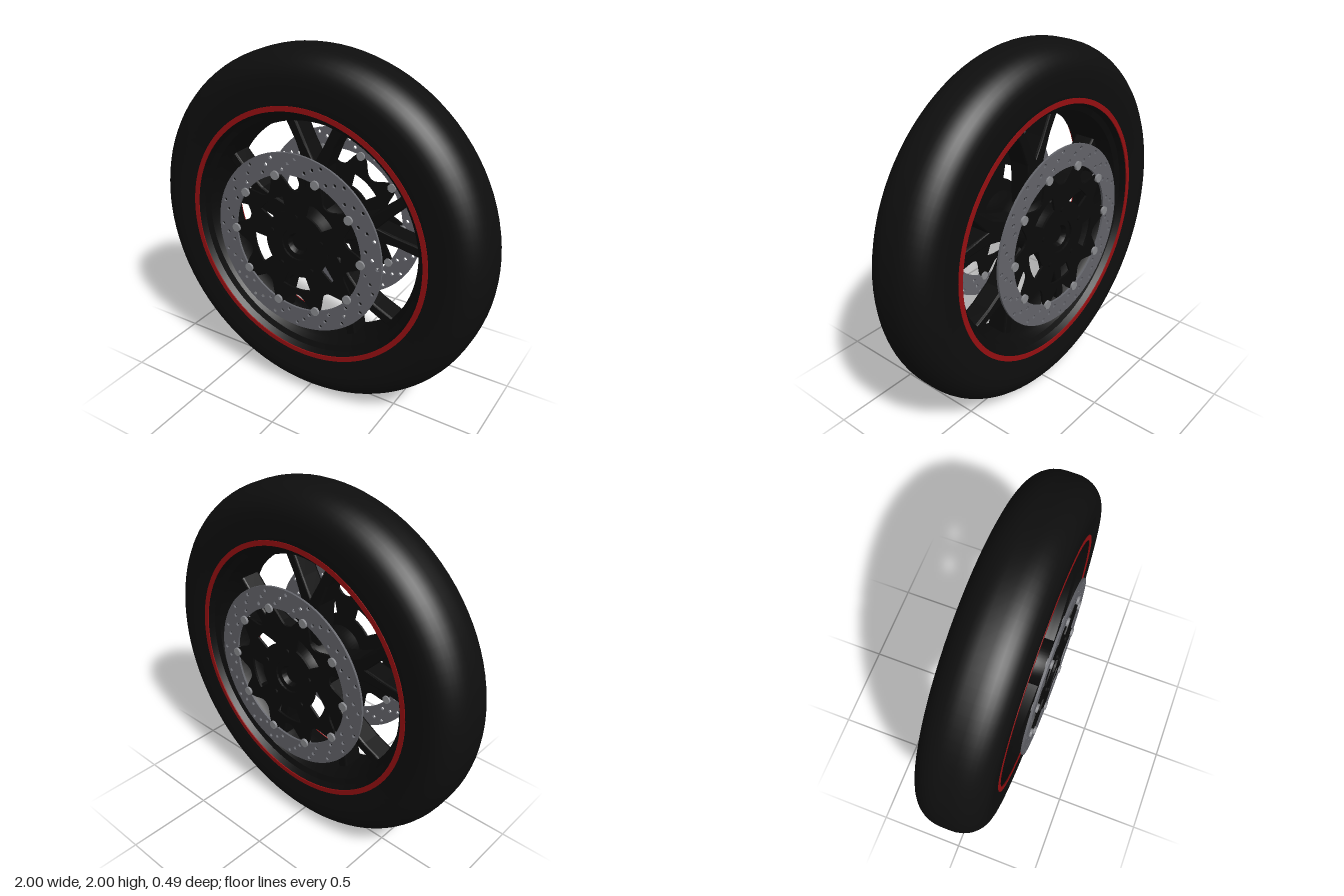
import * as THREE from 'three';
import { toCreasedNormals } from 'three/addons/utils/BufferGeometryUtils.js';

const mat = (name, color) => {
  const m = new THREE.MeshStandardMaterial({ color });
  m.name = name;
  return m;
};
const TAU = Math.PI * 2;
const polar = (r, a) => new THREE.Vector2(r * Math.cos(a), r * Math.sin(a));

export function createModel() {
  const rubber = mat('tyre rubber', 0x0e0e0e);
  const black = mat('wheel black', 0x0b0b0b);
  const red = mat('stripe red', 0x960f11);
  const steel = mat('disc steel', 0x63646a);
  const bright = mat('bobbin steel', 0x8a8b8f);

  const model = new THREE.Group();
  model.name = 'wheel';
  const wheel = new THREE.Group();
  wheel.name = 'wheelAssembly';
  wheel.position.y = 1;
  model.add(wheel);

  const add = (name, geometry, material, parent = wheel) => {
    const mesh = new THREE.Mesh(geometry, material);
    mesh.name = name;
    parent.add(mesh);
    return mesh;
  };
  // Closed [radius, z] loop spun around the axle
  const spin = (pts, segments = 96) => {
    const loop = [...pts, pts[0]].map(([r, z]) => new THREE.Vector2(r, z));
    return toCreasedNormals(new THREE.LatheGeometry(loop, segments).rotateX(Math.PI / 2), 0.6);
  };
  // Half a profile from -z outer side, completed by mirroring in z
  const mirrored = (half) => [...half.map(([r, z]) => [r, -z]), ...half.slice().reverse()];

  // Tyre: flat sidewalls with rounded shoulders
  const shoulder = [];
  for (let i = 0; i <= 9; i++) {
    const a = (i / 9) * Math.PI / 2;
    shoulder.push([0.855 + 0.145 * Math.sin(a), 0.03 + 0.163 * Math.cos(a)]);
  }
  add('tyre', spin(mirrored([[0.70, 0.12], [0.71, 0.182], [0.74, 0.188], ...shoulder])), rubber);

  // Rim: hoop with stepped walls up to the lips
  const rimOuter = mirrored([[0.72, 0.183], [0.72, 0.13], [0.69, 0.1]]);
  const rimInner = [[0.70, 0.183], [0.685, 0.15], [0.655, 0.135], [0.64, 0.1], [0.623, 0.07]];
  add('rim', spin([...rimOuter, ...rimInner, ...rimInner.slice().reverse().map(([r, z]) => [r, -z])]), black);

  // Hub with chamfered ends and a bore, filled by the axle
  add('hub', spin([
    [0.1, -0.222], [0.13, -0.2], [0.13, -0.12], [0.15, -0.08],
    [0.15, 0.08], [0.13, 0.12], [0.13, 0.2], [0.1, 0.222],
    [0.06, 0.222], [0.05, 0.2], [0.05, -0.2], [0.06, -0.222],
  ], 48), black);
  add('axle', new THREE.CylinderGeometry(0.052, 0.052, 0.39, 32).rotateX(Math.PI / 2), black);

  // Five forked spokes
  const side = [[0.06, 0.1], [0.06, 0.3], [0.068, 0.38], [0.115, 0.5], [0.19, 0.635], [0.127, 0.645], [0.055, 0.5]];
  const outline = [...side, [0, 0.4], ...side.slice().reverse().map(([x, y]) => [-x, y])];
  const spokeGeo = new THREE.ExtrudeGeometry(
    new THREE.Shape(outline.map(([x, y]) => new THREE.Vector2(x, y))),
    { depth: 0.1, bevelThickness: 0.012, bevelSize: 0.008, bevelOffset: -0.008, bevelSegments: 2 }
  ).translate(0, 0, -0.05);
  for (let i = 0; i < 5; i++) add('forkedSpoke', spokeGeo, black).rotation.z = (i * TAU) / 5;

  // Brake disc with three rows of drilled holes
  const discShape = new THREE.Shape().absarc(0, 0, 0.505, 0, TAU, false);
  discShape.holes.push(new THREE.Path().absarc(0, 0, 0.388, 0, TAU, true));
  for (let i = 0; i < 20; i++) {
    [0.482, 0.452, 0.418].forEach((r, row) => {
      const c = polar(r, ((i + row * 0.3) / 20) * TAU);
      const hole = [];
      for (let k = 0; k < 10; k++) hole.push(polar(0.011, (-k / 10) * TAU).add(c));
      discShape.holes.push(new THREE.Path(hole));
    });
  }
  const discGeo = new THREE.ExtrudeGeometry(discShape, { depth: 0.012, bevelEnabled: false, curveSegments: 80 });

  // Disc carrier: ten lobes, five windows and a central opening
  const lobes = [];
  for (let i = 0; i < 160; i++) {
    const a = (i / 160) * TAU;
    lobes.push(polar(0.305 + 0.098 * Math.pow((1 + Math.cos(10 * a)) / 2, 1.4), a));
  }
  const carrierShape = new THREE.Shape(lobes);
  carrierShape.holes.push(new THREE.Path().absarc(0, 0, 0.09, 0, TAU, true));
  for (let i = 0; i < 5; i++) {
    const mid = Math.PI * 0.3 + (i * TAU) / 5;
    const win = [];
    for (let k = 0; k <= 8; k++) win.push(polar(0.27, mid + 0.33 - (k / 8) * 0.66));
    for (let k = 0; k <= 8; k++) win.push(polar(0.19, mid - 0.3 + (k / 8) * 0.6));
    carrierShape.holes.push(new THREE.Path(win));
  }
  const carrierGeo = new THREE.ExtrudeGeometry(carrierShape, { depth: 0.012, bevelEnabled: false });
  const bobbinGeo = new THREE.CylinderGeometry(0.024, 0.024, 0.034, 20).rotateX(Math.PI / 2);
  const boltGeo = new THREE.CylinderGeometry(0.014, 0.014, 0.012, 6).rotateX(Math.PI / 2);
  const stripeGeo = spin([[0.728, 0.18], [0.728, 0.189], [0.7, 0.189], [0.7, 0.18]]);

  // Brake and stripe on both sides
  for (const turn of [0, Math.PI]) {
    const brake = new THREE.Group();
    brake.name = turn ? 'backBrake' : 'frontBrake';
    brake.rotation.y = turn;
    wheel.add(brake);
    add('rimStripe', stripeGeo, red, brake);
    add('brakeDisc', discGeo, steel, brake).position.z = 0.224;
    add('discCarrier', carrierGeo, black, brake).position.z = 0.222;
    for (let i = 0; i < 10; i++) {
      const p = polar(0.388, (i / 10) * TAU);
      add('bobbin', bobbinGeo, bright, brake).position.set(p.x, p.y, 0.23);
    }
    for (let i = 0; i < 5; i++) {
      const p = polar(0.16, Math.PI / 2 + (i / 5) * TAU);
      add('carrierBolt', boltGeo, black, brake).position.set(p.x, p.y, 0.237);
    }
  }
  return model;
}
